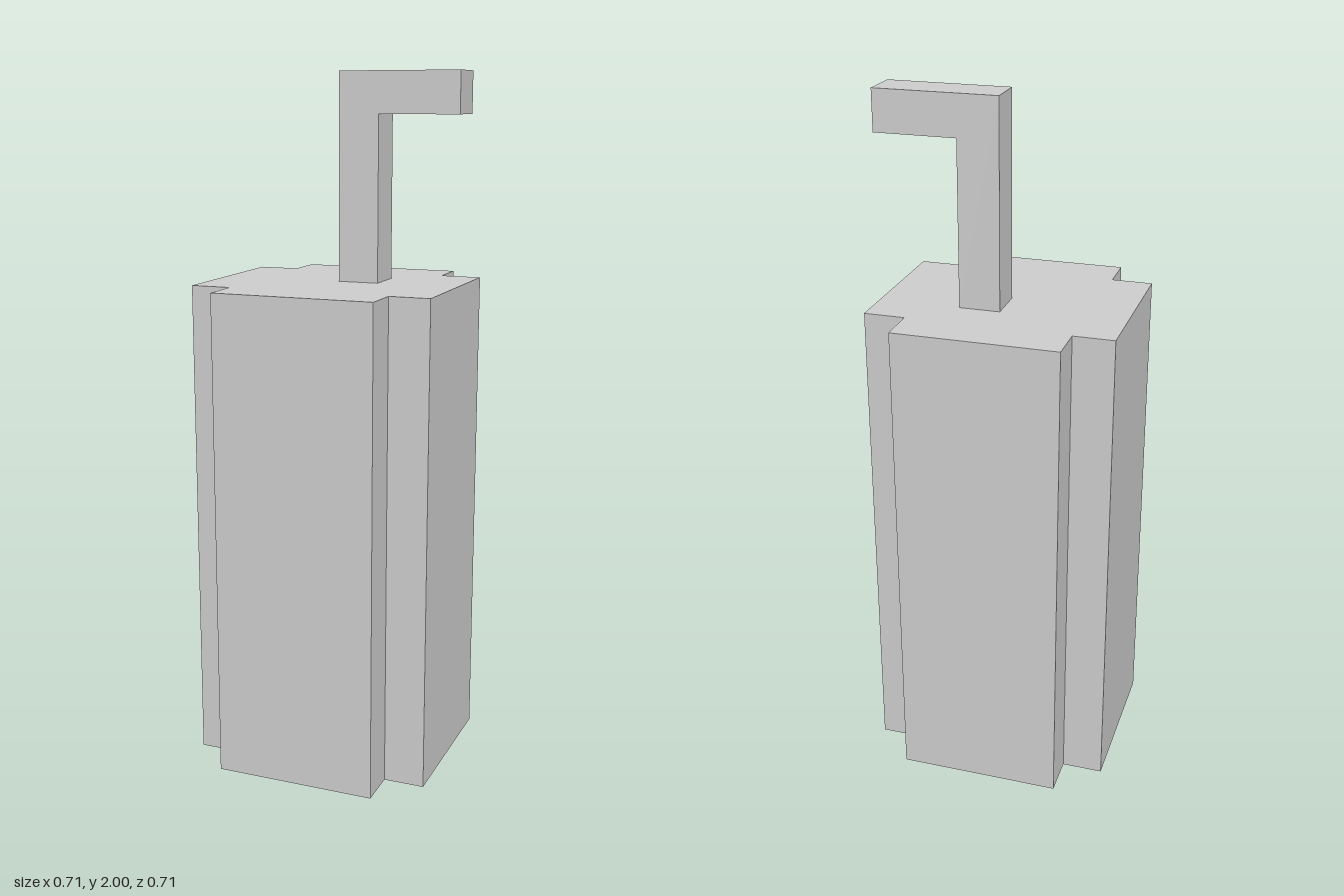
import * as THREE from 'three';

const U = 2 / 17; // one block: the whole model is 17 blocks tall

// Extrudes an outline given in block units
function extrude(name, points, depth) {
  const shape = new THREE.Shape(points.map(([x, y]) => new THREE.Vector2(x * U, y * U)));
  const geometry = new THREE.ExtrudeGeometry(shape, { depth: depth * U, bevelEnabled: false });
  const material = new THREE.MeshStandardMaterial({ color: 0xcccccc, flatShading: true });
  const mesh = new THREE.Mesh(geometry, material);
  mesh.name = name;
  return mesh;
}

export function createModel() {
  const group = new THREE.Group();
  group.name = 'drinkCan';

  // Can body: a square with notched corners, 12 blocks tall
  const outline = [];
  for (let i = 0; i < 4; i++) {
    for (const [x, y] of [[3, -2], [3, 2], [2, 2]]) {
      const p = new THREE.Vector2(x, y).rotateAround(new THREE.Vector2(), i * Math.PI / 2);
      outline.push([Math.round(p.x), Math.round(p.y)]);
    }
  }
  const body = extrude('canBody', outline, 12);
  body.rotation.x = -Math.PI / 2;
  group.add(body);

  // Bent straw: one block thick, standing just behind the centre
  const straw = extrude('straw', [[0, 12], [1, 12], [1, 16], [3, 16], [3, 17], [0, 17]], 1);
  straw.position.z = -U;
  group.add(straw);

  return group;
}
